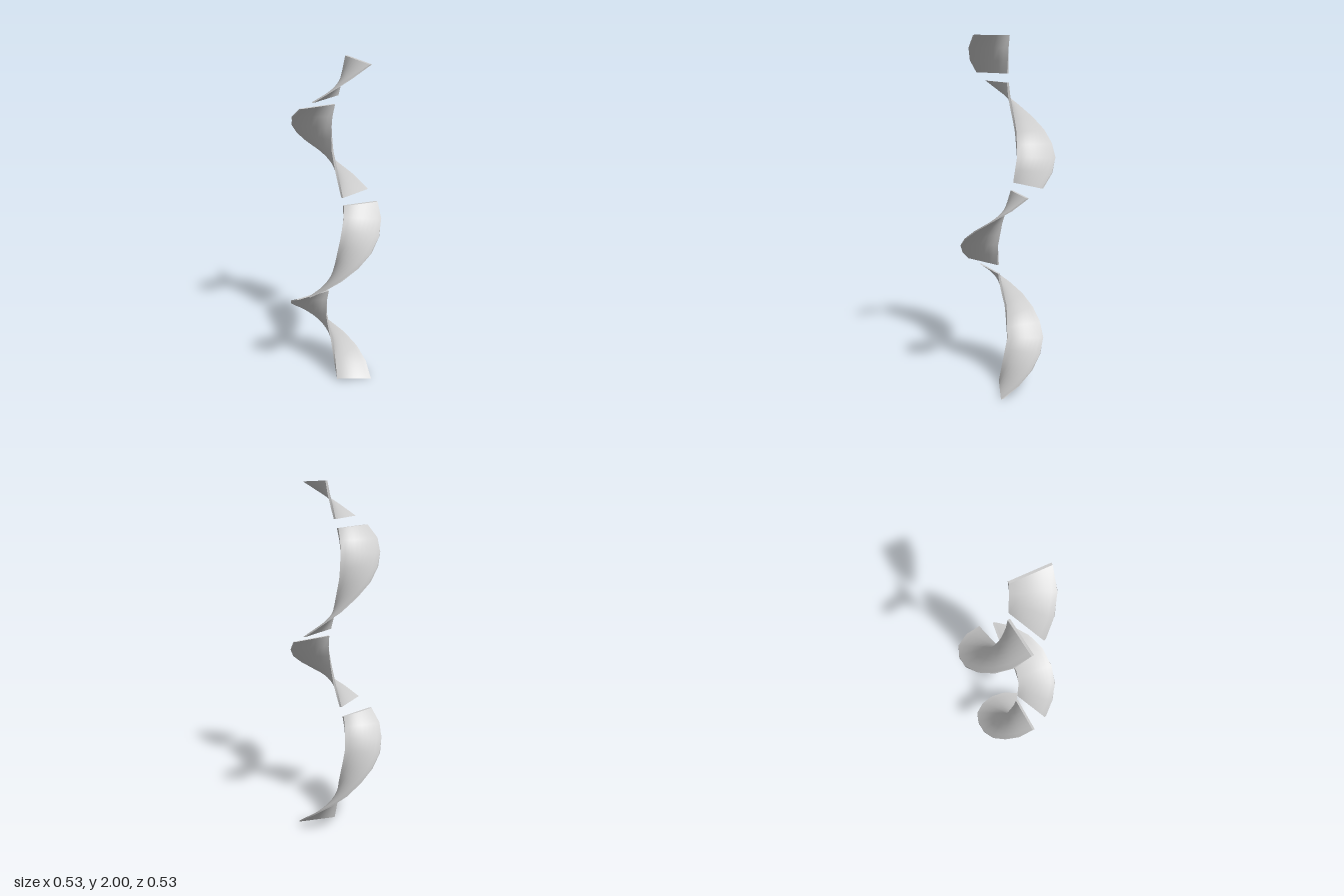
import * as THREE from 'three';

// Spine of the ribbon: height, heading of the blade in degrees, inner edge x and z
const SPINE = [
  [0, 4, 0.008, 0.05], [0.27, -90, -0.02, 0.003], [0.45, -145, -0.053, 0.008],
  [0.575, -180, -0.055, 0.037], [0.665, -212, -0.045, 0.05], [0.72, -233, -0.03, 0.055],
  [0.84, -270, 0, 0.057], [1, -325, 0.032, 0.035], [1.1, -360, 0.046, 0],
  [1.165, -380, 0.047, -0.018], [1.2, -399, 0.042, -0.03], [1.35, -450, 0.012, -0.05],
  [1.5, -494, -0.015, -0.043], [1.66, -540, -0.02, -0.01], [1.75, -571, -0.006, 0],
  [1.8, -590, 0.01, 0.002], [1.93, -632, 0.042, 0], [2, -658, 0.055, -0.003],
];
const WIDTH = 0.214, THICKNESS = 0.013, TILT = 0.013;

function spineAt(y) {
  let i = 0;
  while (i < SPINE.length - 2 && SPINE[i + 1][0] < y) i++;
  const a = SPINE[i], b = SPINE[i + 1];
  const t = (y - a[0]) / (b[0] - a[0]);
  return a.map((v, k) => THREE.MathUtils.lerp(v, b[k], t));
}

// One twisted blade: a thin box wound around the spine, smooth on each side with sharp rims
function twistedBlade(y0, y1, segments) {
  const geo = new THREE.BoxGeometry(1, 1, 1, 8, segments, 1);
  const p = geo.attributes.position;
  for (let i = 0; i < p.count; i++) {
    const y = THREE.MathUtils.lerp(y0, y1, p.getY(i) + 0.5);
    const [, heading, x, z] = spineAt(y);
    const a = THREE.MathUtils.degToRad(heading);
    const c = Math.cos(a), s = Math.sin(a);
    const across = p.getX(i) + 0.5;
    const out = across * WIDTH;
    const off = p.getZ(i) * THICKNESS;
    p.setXYZ(i, x + c * out - s * off, y - TILT * c * across, z + s * out + c * off);
  }
  geo.computeVertexNormals();
  return geo;
}

export function createModel() {
  const group = new THREE.Group();
  group.name = 'twistedRibbon';
  const material = new THREE.MeshStandardMaterial({ color: 0xcccccc });

  // Four blades stacked with small gaps: bottom, top, number of steps
  const blades = [
    ['lowestBlade', 0.013, 0.658, 10],
    ['lowerBlade', 0.716, 1.165, 7],
    ['upperBlade', 1.208, 1.752, 8],
    ['topBlade', 1.8, 2, 3],
  ];
  for (const [name, y0, y1, segments] of blades) {
    const mesh = new THREE.Mesh(twistedBlade(y0, y1, segments), material);
    mesh.name = name;
    group.add(mesh);
  }
  return group;
}
